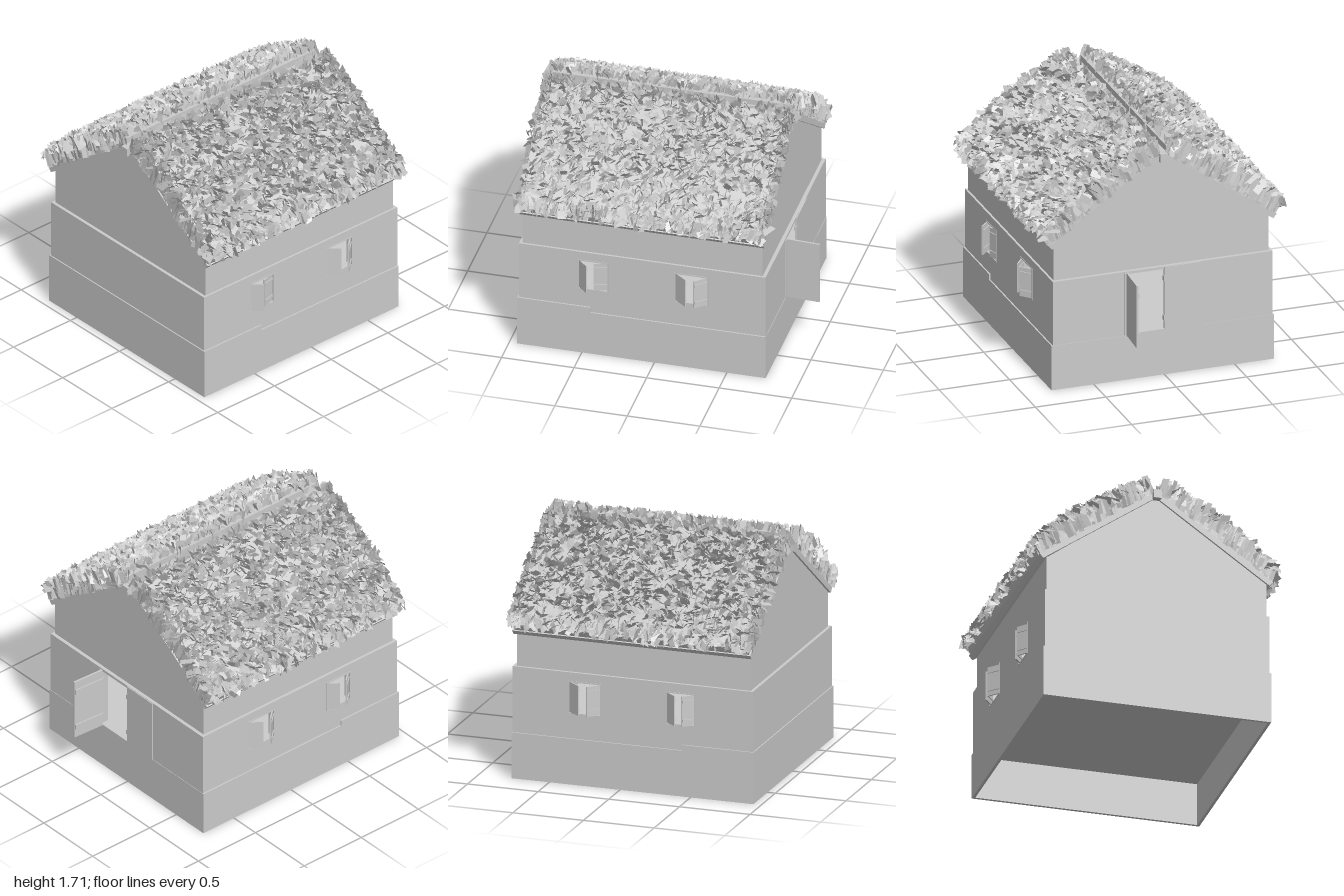
import * as THREE from 'three';

const grey = new THREE.MeshStandardMaterial({ color: 0xcccccc, flatShading: true });
const straw = new THREE.MeshStandardMaterial({ color: 0xcccccc, flatShading: true, side: THREE.DoubleSide });

let seed = 7;
const rnd = (a = 0, b = 1) => {
  seed = (seed * 16807) % 2147483647;
  return a + (b - a) * (seed / 2147483647);
};

function add(parent, name, geo, mat = grey) {
  const m = new THREE.Mesh(geo, mat);
  m.name = name;
  parent.add(m);
  return m;
}

// Box given by its minimum and maximum corners
function box(parent, name, x0, x1, y0, y1, z0, z1) {
  const g = new THREE.BoxGeometry(x1 - x0, y1 - y0, z1 - z0);
  g.translate((x0 + x1) / 2, (y0 + y1) / 2, (z0 + z1) / 2);
  return add(parent, name, g);
}

const rect = (a0, a1, y0, y1) => [[a0, y0], [a1, y0], [a1, y1], [a0, y1]];
function extrude(outline, depth, holes = []) {
  const path = pts => pts.map(p => new THREE.Vector2(...p));
  const s = new THREE.Shape(path(outline));
  s.holes = holes.map(h => new THREE.Path(path(h)));
  return new THREE.ExtrudeGeometry(s, { depth, bevelEnabled: false });
}
// Wall drawn in x,y starting at z; or in z,y ending at x
const wallZ = (p, name, pts, z, t, holes) => add(p, name, extrude(pts, t, holes).translate(0, 0, z));
const wallX = (p, name, pts, x, t, holes) => add(p, name, extrude(pts, t, holes).rotateY(-Math.PI / 2).translate(x, 0, 0));

const ZC = 0.007;                       // ridge line
const WINDOWS = [[-0.53, -0.32], [0.135, 0.37]];
const WY0 = 0.49, WY1 = 0.72;

function buildWalls(house) {
  // Plinth, open below, with a raised west part
  const side = [[-0.945, 0], [0.768, 0], [0.768, 0.32], [-0.44, 0.32], [-0.44, 0.36], [-0.945, 0.36]];
  wallZ(house, 'plinthFront', side, 0.78, 0.02);
  wallZ(house, 'plinthBack', side, -0.78, 0.02);
  wallX(house, 'plinthRight', rect(-0.76, 0.78, 0, 0.32), 0.768, 0.02);
  wallX(house, 'plinthLeft', rect(-0.76, 0.78, 0, 0.36), -0.925, 0.02);
  box(house, 'floor', -0.925, 0.748, 0.3, 0.32, -0.76, 0.78);
  box(house, 'raisedFloor', -0.925, -0.44, 0.32, 0.36, -0.76, 0.78);

  // Lower storey with window and door openings
  const holes = WINDOWS.map(w => rect(w[0], w[1], WY0, WY1));
  wallZ(house, 'wallFront', rect(-0.937, 0.765, 0.31, 0.78), 0.74, 0.05, holes);
  wallZ(house, 'wallBack', rect(-0.937, 0.765, 0.31, 0.78), -0.77, 0.05, holes);
  wallX(house, 'wallDoor', rect(-0.72, 0.74, 0.31, 0.78), 0.765, 0.05, [rect(-0.26, 0.28, 0.325, 0.76)]);
  wallX(house, 'wallEnd', rect(-0.72, 0.74, 0.31, 0.78), -0.887, 0.05);

  // Upper storey and gables
  box(house, 'upperFront', -0.915, 0.74, 0.77, 1.03, 0.745, 0.775);
  box(house, 'upperBack', -0.915, 0.74, 0.77, 1.03, -0.75, -0.72);
  const gable = [[-0.75, 0.77], [0.775, 0.77], [0.775, 1.025], [ZC, 1.57], [-0.75, 1.025]];
  wallX(house, 'gableRight', gable, 0.74, 0.03);
  wallX(house, 'gableLeft', gable, -0.885, 0.03);
}

// Boarded leaf reaching along +x from its hinge, battens on the inner (-z) side
function leaf(name, w, h, t) {
  const g = new THREE.Group();
  g.name = name;
  box(g, 'boards', 0, w, 0, h, 0, t);
  for (const y of [0.15, 0.78]) {
    box(g, 'batten', 0.005, w - 0.005, h * y, h * (y + 0.08), -t * 0.6, 0);
    box(g, 'hinge', -0.006, 0.006, h * y, h * (y + 0.08), -0.004, t + 0.003);
  }
  return g;
}

function buildOpenings(house) {
  // Each window: thin frame and two shutters ajar
  const ajar = [[45, 15], [38, 42], [40, 40], [38, 42]];
  let i = 0;
  for (const face of [1, -1]) for (const [x0, x1] of WINDOWS) {
    const win = new THREE.Group();
    win.name = 'window';
    const w = x1 - x0, h = WY1 - WY0, f = 0.008;
    box(win, 'frameBottom', -w / 2, w / 2, 0, f, -0.052, 0.003);
    box(win, 'frameTop', -w / 2, w / 2, h - f, h, -0.052, 0.003);
    for (const s of [-1, 1]) {
      box(win, 'frameSide', s * (w / 2 - f / 2) - f / 2, s * (w / 2 - f / 2) + f / 2, 0, h, -0.052, 0.003);
      const shutter = leaf('shutter', w / 2 - f, h - 2 * f - 0.004, 0.01);
      const pivot = new THREE.Group();
      pivot.name = 'shutterHinge';
      const angle = THREE.MathUtils.degToRad(ajar[i][s < 0 ? 0 : 1]);
      // Right leaf is the left one turned round its hinge
      pivot.rotation.y = s < 0 ? -angle : Math.PI + angle;
      if (s > 0) shutter.position.z = -0.01;
      pivot.add(shutter);
      pivot.position.set(s * (w / 2 - f), f + 0.002, -0.02);
      win.add(pivot);
    }
    win.position.set((x0 + x1) / 2, WY0, face > 0 ? 0.79 : -0.77);
    if (face < 0) win.rotation.y = Math.PI;
    house.add(win);
    i++;
  }

  // Double door: one leaf shut, one swung out
  const open = leaf('doorOpen', 0.235, 0.45, 0.014);
  open.position.set(0.767, 0.322, 0.255);
  open.rotation.y = -0.06;
  house.add(open);
  const shut = leaf('doorShut', 0.258, 0.455, 0.014);
  shut.position.set(0.757, 0.322, 0);
  shut.rotation.y = Math.PI / 2;
  house.add(shut);
  box(house, 'doorJamb', 0.71, 0.772, 0.322, 0.77, 0.268, 0.284);
  box(house, 'doorSill', 0.71, 0.77, 0.318, 0.33, -0.26, 0.284);
}

function buildRoof(house) {
  const roof = new THREE.Group();
  roof.name = 'roof';
  house.add(roof);
  box(roof, 'ridgeBeam', -0.965, 0.785, 1.54, 1.6, ZC - 0.027, ZC + 0.027);

  // Half sections: distance from the ridge, height
  const slab = [[0, 1.555], [0.785, 1.01], [0.81, 1.04], [0, 1.6]];
  const core = [[0.03, 1.57], [0.8, 1.04], [0.83, 1.09], [0.8, 1.15], [0.55, 1.37], [0.3, 1.53], [0.08, 1.64], [0.03, 1.64]];
  // Outer thatch surface
  const skin = new THREE.SplineCurve([[0.04, 1.675], [0.1, 1.665], [0.3, 1.565], [0.6, 1.38], [0.8, 1.2], [0.86, 1.11], [0.84, 1.06]]
    .map(p => new THREE.Vector2(...p)));

  for (const s of [1, -1]) {
    const flip = pts => pts.map(([d, y]) => [ZC + s * d, y]);
    wallX(roof, 'roofBoard', flip(slab), 0.755, 1.685);
    wallX(roof, 'thatchCore', flip(core), 0.74, 1.66);

    const pos = [];
    // Flat straw card: tip, direction, width direction, length, width
    const card = (tip, a, b, len, w) => {
      const c = [[-0.5, 0], [0.5, 0], [0.5, 1], [-0.5, 1]].map(([u, v]) =>
        tip.clone().addScaledVector(b, u * w).addScaledVector(a, (v - 1) * len + v * rnd(-0.018, 0.012)));
      for (const k of [0, 1, 2, 0, 2, 3]) pos.push(c[k].x, c[k].y, ZC + s * c[k].z);
    };
    // Bristling top
    for (let i = 0; i < 3400; i++) {
      const u = rnd(), p = skin.getPointAt(u), t = skin.getTangentAt(u);
      const normal = new THREE.Vector3(0, t.x, -t.y), down = new THREE.Vector3(0, t.y, t.x);
      const a = normal.clone().multiplyScalar(0.7).addScaledVector(down, u < 0.08 ? 0 : rnd(-0.1, 0.7));
      a.x += rnd(-0.45, 0.45);
      a.normalize();
      const b = new THREE.Vector3(rnd(-1, 1), rnd(-1, 1), rnd(-1, 1)).cross(a).normalize();
      const tip = new THREE.Vector3(rnd(-0.94, 0.765), p.y, p.x).addScaledVector(normal, rnd(-0.02, 0.022));
      card(tip, a, b, rnd(0.06, 0.11), rnd(0.03, 0.055));
    }
    // Long slats covering the gable ends
    for (const x of [-0.925, 0.75]) for (let i = 0; i < 230; i++) {
      const d = rnd(0.03, 0.8), low = 1.6 - 0.69 * d;
      const a = new THREE.Vector3(rnd(-0.12, 0.12), 0.85, rnd(0.2, 0.45)).normalize();
      const b = new THREE.Vector3(rnd(-0.7, 0.7), -0.35, 0.85).cross(a).cross(a).normalize();
      const len = rnd(0.08, 0.12), lift = rnd(0, 0.09) * Math.sin(Math.PI * Math.min(1, d + 0.1));
      const tip = new THREE.Vector3(x + rnd(-0.02, 0.02), low + lift, d).addScaledVector(a, len * 0.9);
      if (tip.z < 0.87) card(tip, a, b, len, rnd(0.025, 0.045));
    }
    const g = new THREE.BufferGeometry();
    g.setAttribute('position', new THREE.Float32BufferAttribute(pos, 3));
    g.computeVertexNormals();
    add(roof, 'thatchStraw', g, straw);
  }
}

export function createModel() {
  const house = new THREE.Group();
  house.name = 'thatchedHouse';
  buildWalls(house);
  buildOpenings(house);
  buildRoof(house);
  return house;
}
